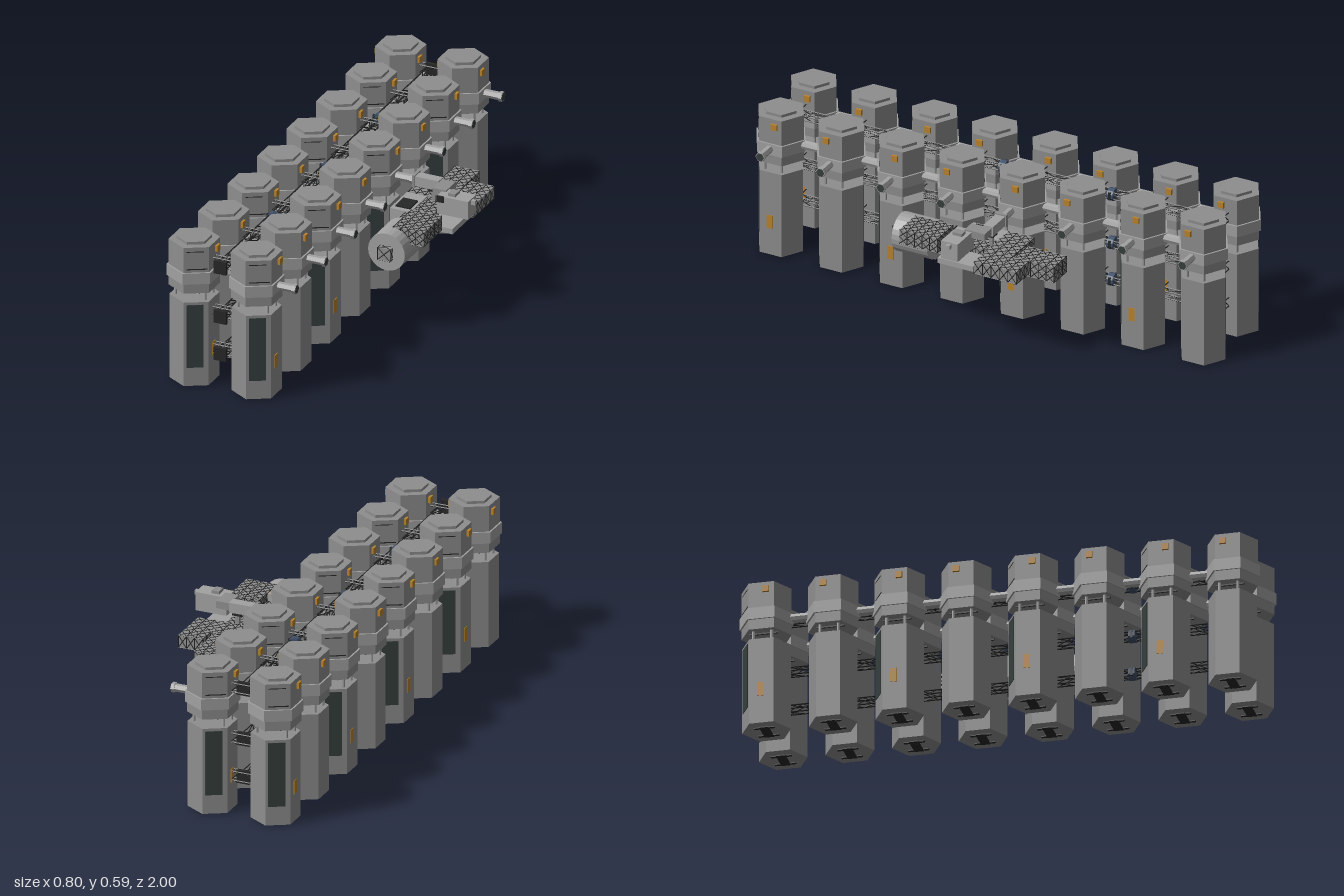
import * as THREE from 'three';
import { mergeGeometries } from 'three/addons/utils/BufferGeometryUtils.js';

const mat = (name, color) => {
  const m = new THREE.MeshStandardMaterial({ color, flatShading: true });
  m.name = name;
  return m;
};

export function createModel() {
  const hull = mat('hull grey', 0x8e8e8e);
  const light = mat('light grey', 0xa2a2a2);
  const panel = mat('dark panel', 0x363f3d);
  const amber = mat('amber', 0xb9842c);
  const black = mat('black frame', 0x262727);
  const blue = mat('blue steel', 0x40506a);

  const root = new THREE.Group();
  const add = (parent, name, geo, material, x = 0, y = 0, z = 0) => {
    const m = new THREE.Mesh(geo, material);
    m.name = name;
    m.position.set(x, y, z);
    parent.add(m);
    return m;
  };
  // Box given by its limits on each axis
  const span = (parent, name, material, x0, x1, y0, y1, z0, z1) =>
    add(parent, name, new THREE.BoxGeometry(x1 - x0, y1 - y0, z1 - z0), material,
      (x0 + x1) / 2, (y0 + y1) / 2, (z0 + z1) / 2);
  const hex = (r, h) => new THREE.CylinderGeometry(r, r, h, 6);
  // Thin square bar between two points
  const bar = (a, b, r) => {
    const p = new THREE.Vector3(...a), q = new THREE.Vector3(...b), d = q.clone().sub(p);
    const g = new THREE.CylinderGeometry(r, r, d.length(), 4, 1);
    g.applyQuaternion(new THREE.Quaternion().setFromUnitVectors(new THREE.Vector3(0, 1, 0), d.clone().normalize()));
    return g.translate(...p.add(q).multiplyScalar(0.5).toArray());
  };

  // One storage tower: lower tank, four legs, collared upper module
  const tower = (x, z, turn) => {
    const g = new THREE.Group();
    g.name = 'tower';
    g.position.set(x, 0, z);
    g.rotation.y = turn;
    root.add(g);
    add(g, 'lowerTank', hex(0.0938, 0.347), hull, 0, 0.1775, 0);
    add(g, 'upperModule', hex(0.0965, 0.19), hull, 0, 0.485, 0);
    add(g, 'collar', hex(0.104, 0.046), light, 0, 0.453, 0);
    add(g, 'roofCap', hex(0.066, 0.012), hull, 0, 0.585, 0);
    for (const sx of [-1, 1]) {
      for (const sz of [-1, 1])
        add(g, 'neckLeg', new THREE.CylinderGeometry(0.006, 0.006, 0.042, 8), light, sx * 0.061, 0.37, sz * 0.035);
      add(g, 'window', new THREE.BoxGeometry(0.01, 0.024, 0.025), amber, sx * 0.088, 0.55, -0.018);
      add(g, 'neckStrut', new THREE.BoxGeometry(0.006, 0.006, 0.11), black, sx * 0.045, 0.386, 0);
    }
    span(g, 'tankPlate', amber, 0.08, 0.0835, 0.115, 0.17, -0.009, 0.016);
    // Fittings on one slanted face
    const face = new THREE.Group();
    face.name = 'slantedFace';
    face.rotation.y = Math.PI / 6;
    g.add(face);
    span(face, 'tankDoor', panel, -0.036, 0.028, 0.08, 0.34, 0.078, 0.0835);
    span(face, 'upperSeam', black, -0.036, 0.03, 0.56, 0.563, 0.08, 0.0845);
    span(face, 'lowerSeam', black, -0.036, 0.042, 0.487, 0.491, 0.08, 0.0845);
    // Fittings underneath
    span(g, 'underPlate', black, -0.045, 0.045, 0, 0.006, -0.018, 0.018);
    for (const sx of [-1, 1]) span(g, 'underRail', black, sx * 0.035 - 0.006, sx * 0.035 + 0.006, 0, 0.006, -0.04, 0.04);
  };

  const columns = [-0.31, -0.052];
  const rows = Array.from({ length: 8 }, (_, i) => 0.896 - i * 0.256);
  rows.forEach((z, i) => {
    for (const x of columns) {
      tower(x, z, i % 2 ? Math.PI : 0);
      // Pipe to the next tower
      if (i < 7) {
        const p = add(root, 'linkPipe', new THREE.CylinderGeometry(0.018, 0.018, 0.1, 8), light, x, 0.457, z - 0.128);
        p.rotation.x = Math.PI / 2;
      }
    }
    // Docking arm on the outer side
    const arm = add(root, 'dockingArm', new THREE.CylinderGeometry(0.016, 0.016, 0.08, 6), light, 0.068, 0.455, z);
    arm.rotation.z = Math.PI / 2;
    const rim = add(root, 'dockingRim', new THREE.CylinderGeometry(0.02, 0.02, 0.014, 6), light, 0.106, 0.455, z);
    rim.rotation.z = Math.PI / 2;
    const port = add(root, 'dockingPort', new THREE.CylinderGeometry(0.017, 0.017, 0.004, 6), panel, 0.1125, 0.455, z);
    port.rotation.z = Math.PI / 2;
  });

  // Three long trusses between the columns
  const tx = -0.181, hw = 0.014;
  for (const y of [0.503, 0.298, 0.143]) {
    const bars = [];
    for (const sx of [-1, 1]) for (const sy of [-1, 1])
      bars.push(bar([tx + sx * hw, y + sy * hw, -0.9], [tx + sx * hw, y + sy * hw, 0.94], 0.0028));
    const n = 32, step = 1.84 / n;
    for (let i = 0; i < n; i++) {
      const z0 = -0.9 + i * step, z1 = z0 + step, s = i % 2 ? 1 : -1;
      for (const k of [-1, 1]) {
        bars.push(bar([tx - s * hw, y + k * hw, z0], [tx + s * hw, y + k * hw, z1], 0.002));
        bars.push(bar([tx + k * hw, y - s * hw, z0], [tx + k * hw, y + s * hw, z1], 0.002));
      }
    }
    // Cross struts to both towers of every row
    for (const z of rows) for (const k of [-1, 1]) {
      for (const d of [-1, 1]) bars.push(bar([-0.232, y + k * 0.018, z + d * 0.012], [-0.13, y + k * 0.018, z + d * 0.012], 0.0028));
      bars.push(bar([-0.232, y - 0.018, z + k * 0.012], [-0.195, y + 0.018, z + k * 0.012], 0.002));
      bars.push(bar([-0.13, y - 0.018, z + k * 0.012], [-0.167, y + 0.018, z + k * 0.012], 0.002));
    }
    add(root, 'longTruss', mergeGeometries(bars), black);
    for (const z of [0.94, -0.9])
      add(root, 'trussEndPlate', new THREE.BoxGeometry(0.052, 0.052, 0.014), black, tx, y, z);
    for (const z of [0.48, 0.02, -0.44]) {
      const c = add(root, 'trussJoint', new THREE.CylinderGeometry(0.025, 0.025, 0.026, 10), blue, tx, y, z);
      c.rotation.x = Math.PI / 2;
      add(root, 'jointBand', new THREE.BoxGeometry(0.052, 0.03, 0.01), black, tx, y, z);
    }
  }

  // Box covered on every face with crossed bracing
  const latticeBox = (parent, name, x0, x1, y0, y1, z0, z1) => {
    span(parent, name, hull, x0, x1, y0, y1, z0, z1);
    const lo = [x0, y0, z0], hi = [x1, y1, z1], bars = [];
    for (let a = 0; a < 3; a++) for (const w of [lo[a], hi[a]]) {
      const u = (a + 1) % 3, v = (a + 2) % 3;
      const nu = Math.max(1, Math.round((hi[u] - lo[u]) / 0.034)), nv = Math.max(1, Math.round((hi[v] - lo[v]) / 0.034));
      const pt = (i, j) => {
        const p = [0, 0, 0];
        p[a] = w;
        p[u] = lo[u] + (hi[u] - lo[u]) * i / nu;
        p[v] = lo[v] + (hi[v] - lo[v]) * j / nv;
        return p;
      };
      for (let i = 0; i < nu; i++) for (let j = 0; j < nv; j++) {
        bars.push(bar(pt(i, j), pt(i + 1, j + 1), 0.0018), bar(pt(i + 1, j), pt(i, j + 1), 0.0018));
        bars.push(bar(pt(i, j), pt(i + 1, j), 0.0018), bar(pt(i, j), pt(i, j + 1), 0.0018));
      }
    }
    add(parent, name + 'Bracing', mergeGeometries(bars), black);
  };

  // Visiting vessel docked at the outer side
  const ship = new THREE.Group();
  ship.name = 'vessel';
  root.add(ship);
  const drum = add(ship, 'drum', new THREE.CylinderGeometry(0.076, 0.076, 0.15, 24), light, 0.181, 0.34, 0.185);
  drum.rotation.x = Math.PI / 2;
  latticeBox(ship, 'drumNozzle', 0.156, 0.207, 0.315, 0.365, 0.255, 0.284);
  latticeBox(ship, 'spine', 0.14, 0.24, 0.32, 0.385, -0.42, 0.11);
  latticeBox(ship, 'sideDeck', 0.08, 0.25, 0.365, 0.392, -0.25, -0.14);
  latticeBox(ship, 'outerDeck', 0.25, 0.35, 0.34, 0.39, -0.32, -0.14);
  latticeBox(ship, 'drumDeck', 0.18, 0.305, 0.36, 0.418, 0.04, 0.2);
  span(ship, 'innerTank', light, 0.076, 0.16, 0.31, 0.39, -0.14, 0.01);
  span(ship, 'innerTankTop', black, 0.09, 0.15, 0.388, 0.396, -0.08, -0.01);
  span(ship, 'cabin', light, 0.257, 0.385, 0.392, 0.466, -0.09, -0.02);
  span(ship, 'cabinNub', light, 0.385, 0.4, 0.443, 0.46, -0.063, -0.047);
  span(ship, 'cabinRoof', hull, 0.295, 0.325, 0.466, 0.478, -0.075, -0.035);
  span(ship, 'cabinWindow', black, 0.257, 0.285, 0.442, 0.468, -0.021, -0.016);
  span(ship, 'outrigger', light, 0.24, 0.34, 0.34, 0.362, -0.13, 0.02);
  span(ship, 'lowerTray', panel, 0.15, 0.255, 0.312, 0.322, -0.3, -0.02);
  span(ship, 'bridgeFlange', hull, 0.112, 0.124, 0.432, 0.482, -0.155, -0.105);
  span(ship, 'bridge', light, 0.12, 0.22, 0.437, 0.477, -0.15, -0.11);
  span(ship, 'bridgeNeck', hull, 0.22, 0.275, 0.443, 0.472, -0.145, -0.06);
  span(ship, 'bridgeMast', hull, 0.185, 0.2, 0.38, 0.44, -0.137, -0.122);
  span(ship, 'mastCollar', black, 0.175, 0.21, 0.425, 0.432, -0.145, -0.115);
  return root;
}
